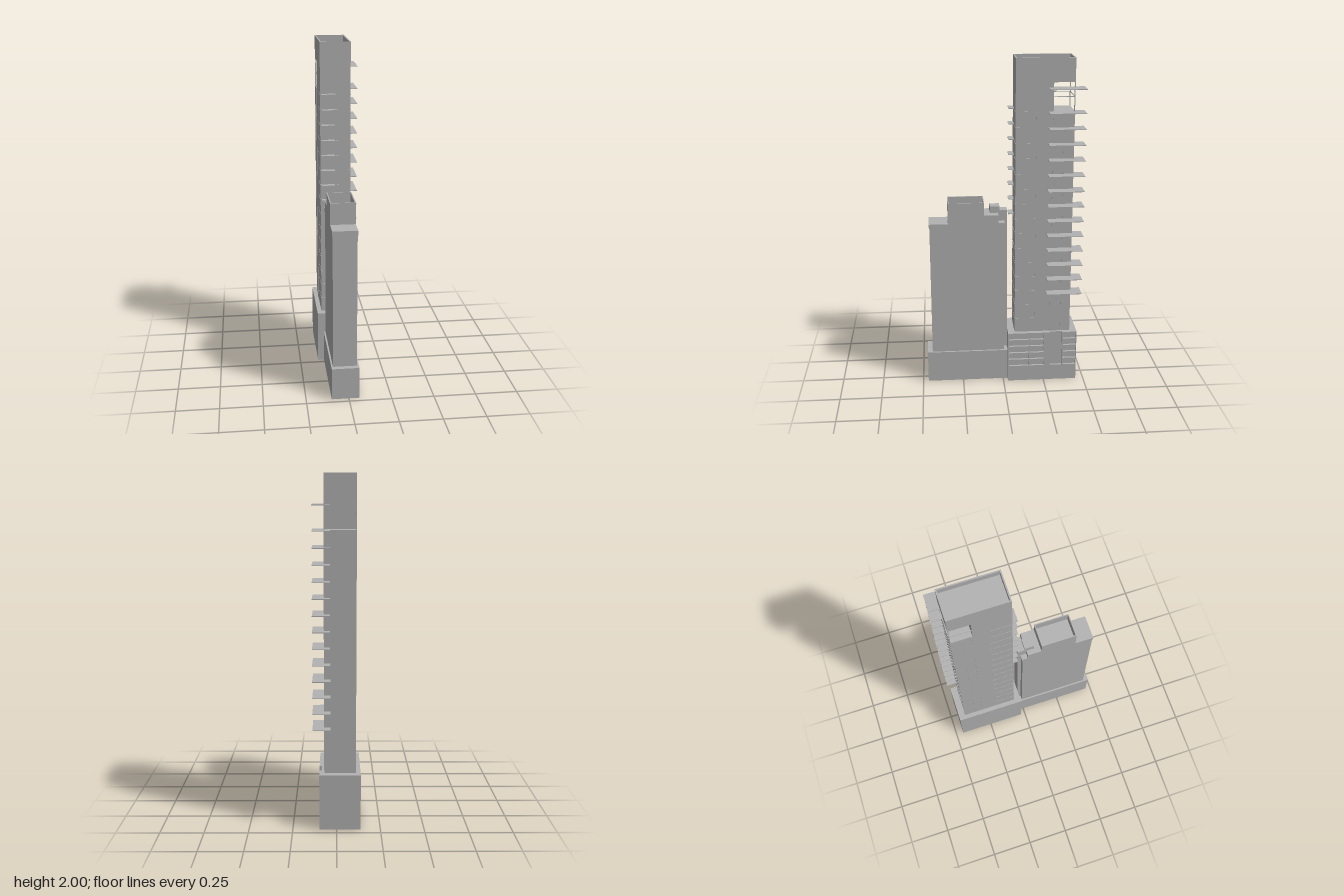
import * as THREE from 'three';

export function createModel() {
  const root = new THREE.Group();
  const concrete = new THREE.MeshStandardMaterial({ color: 0xb3b3b3 });
  concrete.name = 'concrete grey';

  // Box given by its limits on each axis
  function block(name, x0, x1, y0, y1, z0, z1, parent = root) {
    const mesh = new THREE.Mesh(new THREE.BoxGeometry(x1 - x0, y1 - y0, z1 - z0), concrete);
    mesh.position.set((x0 + x1) / 2, (y0 + y1) / 2, (z0 + z1) / 2);
    mesh.name = name;
    parent.add(mesh);
    return mesh;
  }

  // Hollow rim of walls around a flat roof
  function parapet(name, x0, x1, y0, y1, z0, z1, t) {
    const shape = new THREE.Shape([[x0, -z1], [x1, -z1], [x1, -z0], [x0, -z0]]
      .map(p => new THREE.Vector2(...p)));
    shape.holes.push(new THREE.Path([[x0 + t, -z1 + t], [x0 + t, -z0 - t], [x1 - t, -z0 - t], [x1 - t, -z1 + t]]
      .map(p => new THREE.Vector2(...p))));
    const geo = new THREE.ExtrudeGeometry(shape, { depth: y1 - y0, bevelEnabled: false });
    geo.rotateX(-Math.PI / 2);
    const mesh = new THREE.Mesh(geo, concrete);
    mesh.position.y = y0;
    mesh.name = name;
    root.add(mesh);
  }

  // Podiums
  block('frontPodium', -0.1, 0.062, 0, 0.195, -0.028, 0.468);
  block('towerPodium', -0.137, 0.084, 0, 0.322, -0.453, -0.028);

  // Recessed podium facade: base, piers and horizontal bars
  const facade = new THREE.Group();
  facade.name = 'podiumFacade';
  root.add(facade);
  block('facadeBase', 0.084, 0.098, 0, 0.1, -0.453, -0.028, facade);
  for (const [z0, z1] of [[-0.032, -0.028], [-0.163, -0.158], [-0.288, -0.25], [-0.37, -0.362], [-0.453, -0.449]])
    block('facadePier', 0.084, 0.098, 0.1, 0.322, z0, z1, facade);
  for (const [z0, z1] of [[-0.158, -0.032], [-0.25, -0.163], [-0.449, -0.37]])
    for (let i = 1; i <= 5; i++) {
      const y = 0.1 + i * 0.0444;
      block('facadeBar', 0.084, 0.098, y - 0.014, y, z0, z1, facade);
    }

  // Tall tower with an open terrace cut through the back near the top
  const L = -0.11, R = 0.07, B = -0.411, F = -0.07;
  block('towerShaft', L, R, 0.322, 1.695, B, F);
  block('towerTerraceCore', L, R, 1.695, 1.862, -0.288, F);
  block('towerCrown', L, R, 1.862, 1.96, B, F);
  parapet('towerParapet', L, R, 1.96, 2, B, F, 0.008);
  for (const x of [L, R - 0.005])
    block('terracePost', x, x + 0.005, 1.695, 1.862, B, B + 0.005);
  block('terraceRail', L, R, 1.778, 1.782, B, B + 0.004);
  for (const x of [L, R - 0.004])
    block('terraceSideRail', x, x + 0.004, 1.778, 1.782, B, -0.288);

  // Fine floor bands on the tower faces
  const p = 0.0015;
  for (let i = 0; i < 15; i++) {
    const y = 0.41 + i * 0.0917, h = 0.003;
    block('frontFloorBand', L, R, y, y + h, F, F + p);
    block('rightSideFloorBand', L - p, L, y, y + h, -0.2, F);
    block('leftSideFloorBand', R, R + p, y, y + h, -0.19, F);
    if (y < 1.69) block('backFloorBand', L, R, y, y + h, B - p, B);
  }
  // Slim vertical strips on the tower sides
  for (const [x, z] of [[R, -0.195], [R, -0.29], [R, -0.355], [L - p, -0.292], [L - p, -0.345]])
    block('sideStrip', x, x + p, 0.322, 1.69, z, z + 0.004);

  // Wide slab balconies wrapping the back corner
  for (let i = 0; i <= 12; i++) {
    const y = 0.59 + i * 0.0919;
    block('cornerBalcony', 0.035, 0.135, y - 0.002, y + 0.002, -0.47, -0.26);
  }
  block('terraceCanopy', 0.035, 0.135, 1.828, 1.832, -0.47, -0.26);

  // Small balconies on the tower front
  for (let i = 0; i < 8; i++) {
    const y = 1.058 + i * 0.0915;
    block('frontBalcony', -0.105, -0.025, y - 0.002, y + 0.002, F, -0.038);
  }

  // Lower slab building with stepped roof
  block('slabShaft', -0.09, 0.05, 0.195, 1.0, -0.006, 0.438);
  block('slabCornice', -0.093, 0.053, 1.0, 1.028, -0.01, 0.441);
  block('roofStep', -0.093, 0.053, 1.028, 1.076, 0.027, 0.112);
  block('penthouse', -0.093, 0.053, 1.028, 1.09, 0.112, 0.328);
  parapet('penthouseParapet', -0.093, 0.053, 1.09, 1.155, 0.112, 0.328, 0.006);

  // Lift shaft and its roof housing between the two buildings
  block('liftShaft', -0.062, 0.002, 0.195, 1.092, -0.028, 0.017);
  block('liftHousing', -0.062, 0.002, 1.028, 1.116, 0.017, 0.075);

  return root;
}
